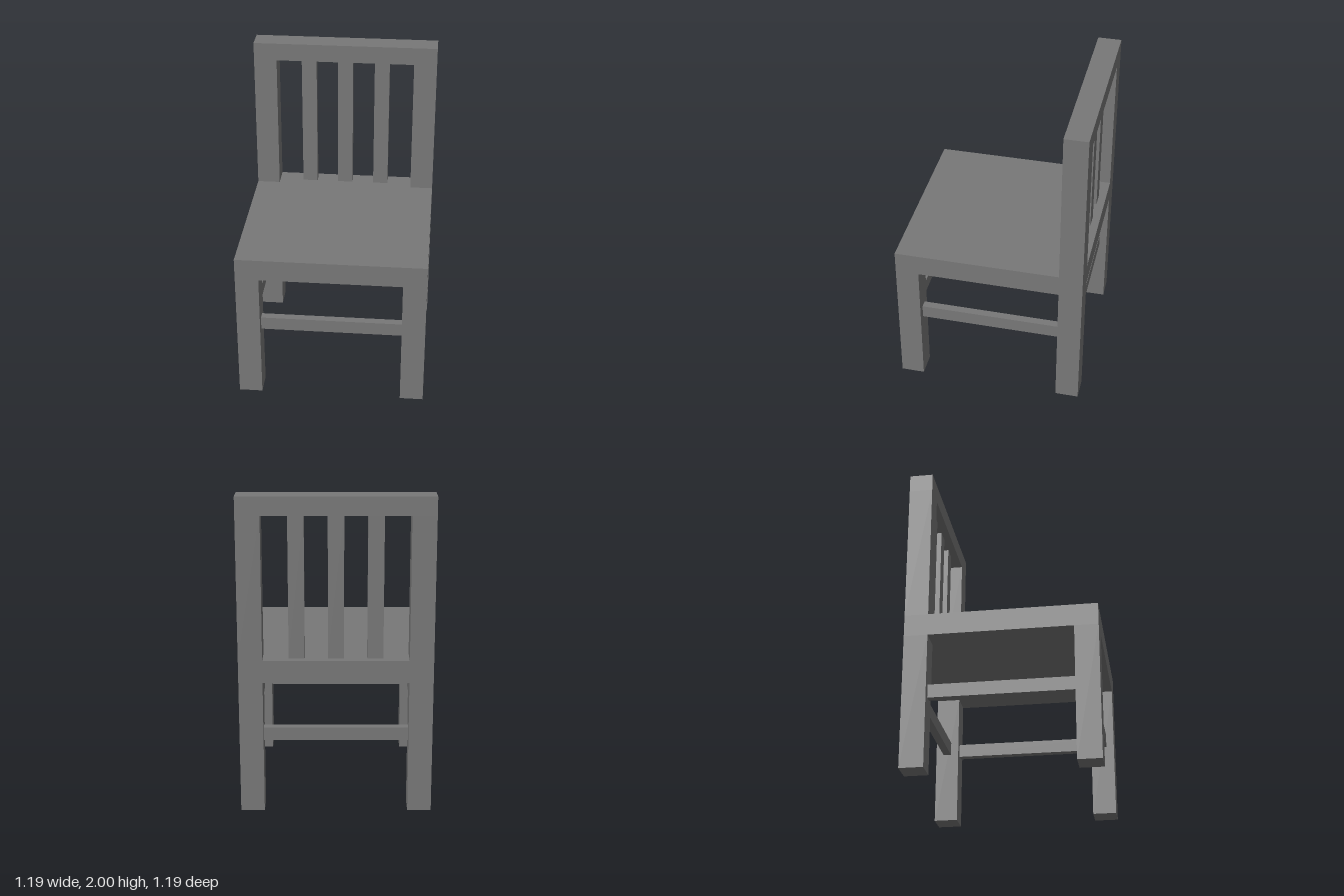
import * as THREE from 'three';

const HALF = 0.596;        // half of the seat width and depth
const POST = 0.148;        // leg and post thickness
const SEAT_LOW = 0.85, SEAT_TOP = 0.99;
const RAIL_LOW = 1.885, TOP = 2;

export function createModel() {
  const chair = new THREE.Group();
  chair.name = 'chair';
  const grey = new THREE.MeshStandardMaterial({ color: 0x787878 });
  grey.name = 'grey';

  // Box centred on x and z, spanning y0 to y1
  const block = (name, w, d, y0, y1, x, z) => {
    const mesh = new THREE.Mesh(new THREE.BoxGeometry(w, y1 - y0, d), grey);
    mesh.name = name;
    mesh.position.set(x, (y0 + y1) / 2, z);
    chair.add(mesh);
  };

  const c = HALF - POST / 2;          // leg centre line
  const span = 2 * (HALF - POST);     // clear gap between legs

  // Seat slab
  block('seat', 2 * HALF, 2 * HALF, SEAT_LOW, SEAT_TOP, 0, 0);

  for (const s of [-1, 1]) {
    const side = s > 0 ? 'left' : 'right';
    // Legs and back posts
    block(side + 'FrontLeg', POST, POST, 0, SEAT_LOW, s * c, c);
    block(side + 'BackLeg', POST, POST, 0, SEAT_LOW, s * c, -c);
    block(side + 'BackPost', POST, POST, SEAT_TOP, RAIL_LOW, s * c, -c);
    // Stretchers between the legs
    block(side + 'Stretcher', 0.05, span, 0.455, 0.54, s * c, 0);
    block(s > 0 ? 'frontStretcher' : 'backStretcher', span, 0.05, 0.455, 0.54, 0, s * c);
  }

  // Top rail of the backrest
  block('topRail', 2 * HALF, POST, RAIL_LOW, TOP, 0, -c);

  // Backrest slats
  for (const x of [-0.24, 0, 0.24]) block('backSlat', 0.098, 0.05, SEAT_TOP, RAIL_LOW, x, -c);

  return chair;
}
